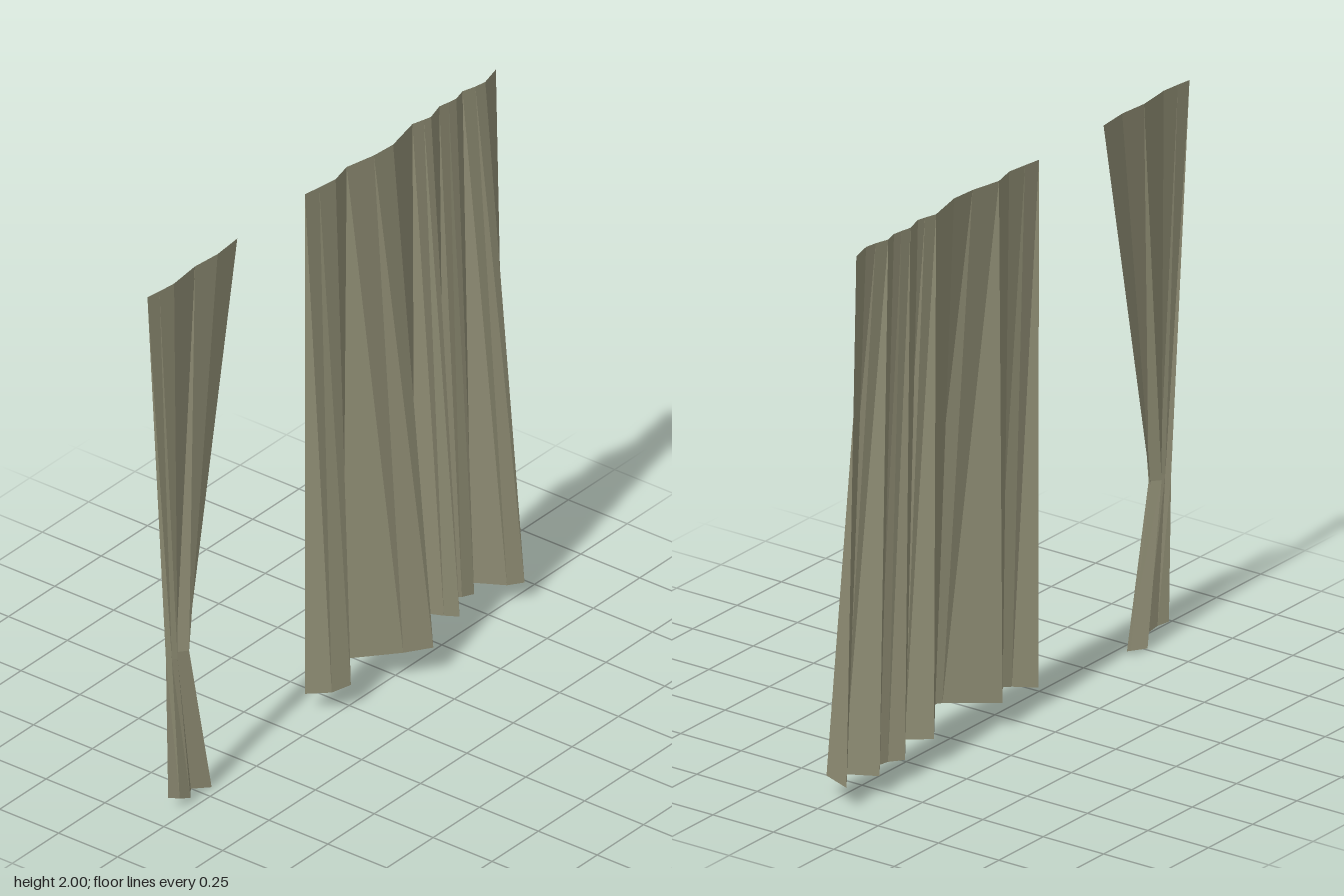
import * as THREE from 'three';

const cloth = new THREE.MeshStandardMaterial({ color: 0x8f8d74, side: THREE.DoubleSide, flatShading: true });
cloth.name = 'olive cloth';

// Pleated sheet lofted between cross-sections of [x, y, z], listed top to bottom
function pleatedSheet(name, rows) {
  const n = rows[0].length;
  const index = [];
  for (let r = 0; r < rows.length - 1; r++) {
    for (let i = 0; i < n - 1; i++) {
      const a = r * n + i, b = a + n;
      index.push(a, b, b + 1, a, b + 1, a + 1);
    }
  }
  const indexed = new THREE.BufferGeometry();
  indexed.setAttribute('position', new THREE.Float32BufferAttribute(rows.flat(2), 3));
  indexed.setIndex(index);
  const geometry = indexed.toNonIndexed(); // one hard facet per fold
  geometry.computeVertexNormals();
  const mesh = new THREE.Mesh(geometry, cloth);
  mesh.name = name;
  return mesh;
}

export function createModel() {
  const group = new THREE.Group();
  group.name = 'curtains';

  // Wide hanging curtain: each fold as [top x, top z, hem x, hem y, hem z]
  const folds = [
    [-0.105, -0.105, -0.13, 0.075, -0.085],
    [-0.04, -0.095, -0.075, 0.08, -0.015],
    [0.035, -0.085, -0.01, 0.09, 0.015],
    [0.12, -0.105, 0.093, 0.1, -0.1],
    [0.235, -0.08, 0.235, 0.111, 0.045],
    [0.33, -0.073, 0.322, 0.112, 0.104],
    [0.475, -0.105, 0.48, 0.1, -0.1],
    [0.52, -0.092, 0.53, 0.094, -0.015],
    [0.55, -0.085, 0.563, 0.09, 0.026],
    [0.62, -0.105, 0.643, 0.08, -0.1],
    [0.66, -0.097, 0.685, 0.077, -0.06],
    [0.695, -0.092, 0.73, 0.073, -0.044],
    [0.745, -0.105, 0.787, 0.07, -0.1],
    [0.795, -0.09, 0.845, 0.071, 0.005],
    [0.84, -0.083, 0.893, 0.073, 0.042],
    [0.925, -0.105, 0.953, 0.08, -0.085],
  ];
  group.add(pleatedSheet('hangingCurtain', [
    folds.map(([x, z]) => [x, 2, z]),
    folds.map(([, , x, y, z]) => [x, y, z]),
  ]));

  // Gathered curtain: top edge, tied waist, flared hem
  group.add(pleatedSheet('gatheredCurtain', [
    [[-0.955, 2, -0.105], [-0.9, 2, -0.097], [-0.83, 2, -0.09], [-0.7, 2, -0.104], [-0.59, 2, -0.094], [-0.47, 2, -0.105]],
    [[-0.906, 0.58, -0.065], [-0.893, 0.58, -0.05], [-0.875, 0.58, -0.04], [-0.845, 0.58, -0.07], [-0.81, 0.58, -0.042], [-0.79, 0.58, -0.065]],
    [[-0.903, 0.045, -0.058], [-0.87, 0.035, -0.035], [-0.825, 0.02, -0.025], [-0.755, 0.003, -0.078], [-0.7, 0, -0.033], [-0.665, 0.03, -0.075]],
  ]));

  return group;
}
